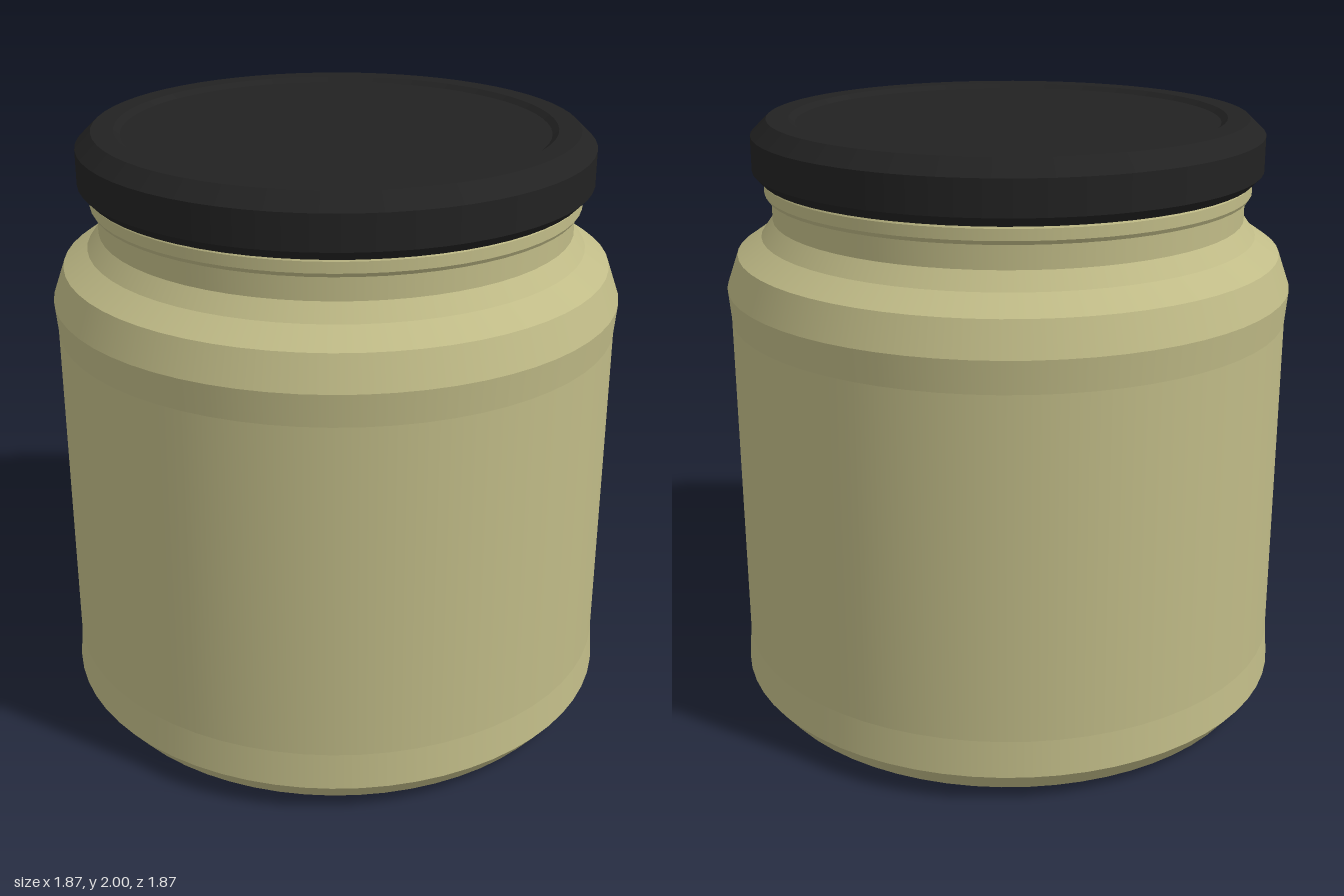
import * as THREE from 'three';
import { mergeGeometries } from 'three/addons/utils/BufferGeometryUtils.js';

const SEGMENTS = 64;

// Revolve each profile span separately: smooth around, crisp between bands.
function bandedLathe(profile) {
  const bands = [];
  for (let i = 0; i < profile.length - 1; i++) {
    const span = [profile[i], profile[i + 1]].map(([r, y]) => new THREE.Vector2(r, y));
    bands.push(new THREE.LatheGeometry(span, SEGMENTS));
  }
  return mergeGeometries(bands);
}

function addPart(group, name, profile, material) {
  const mesh = new THREE.Mesh(bandedLathe(profile), material);
  mesh.name = name;
  group.add(mesh);
}

export function createModel() {
  const glass = new THREE.MeshStandardMaterial({ color: 0xc0bb87 });
  glass.name = 'khaki glass';
  const black = new THREE.MeshStandardMaterial({ color: 0x222222 });
  black.name = 'black lid';

  const jar = new THREE.Group();
  jar.name = 'jar';

  // Slightly domed base, chamfered foot, straight wall and sloping shoulder
  addPart(jar, 'jarBody', [
    [0, 0.03], [0.35, 0.025], [0.65, 0.014], [0.8, 0], [0.835, 0.004],
    [0.875, 0.025], [0.934, 0.098], [0.925, 0.22], [0.925, 1.35],
    [0.934, 1.455], [0.895, 1.565], [0.815, 1.62], [0.776, 1.675],
  ], glass);

  // Neck with the raised sealing ring under the lid
  addPart(jar, 'neck', [
    [0.776, 1.675], [0.776, 1.75], [0.79, 1.752], [0.798, 1.765],
    [0.798, 1.8], [0.79, 1.815],
  ], glass);

  // Lid: closed underside, bevelled rim and shallow recessed top panel
  addPart(jar, 'lid', [
    [0, 1.808], [0.805, 1.808], [0.834, 1.838], [0.834, 1.95],
    [0.782, 2], [0.71, 2], [0.69, 1.985], [0, 1.985],
  ], black);

  return jar;
}
